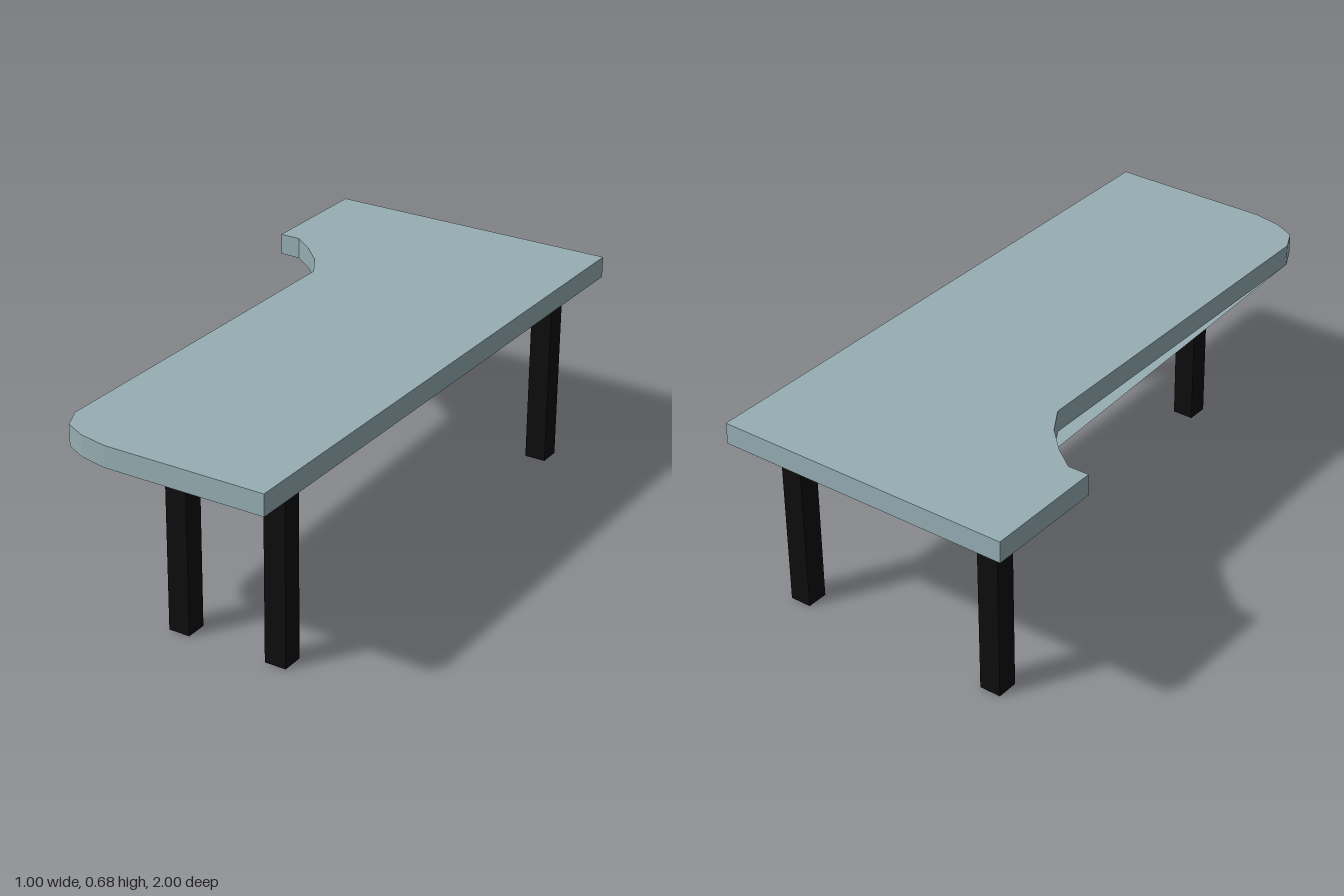
import * as THREE from 'three';

const LEG_HEIGHT = 0.61, TOP_THICKNESS = 0.07, LEG_WIDTH = 0.072;

// Plan outline given as [x, z] pairs, stored with y = -z so it can be laid flat
const planShape = (points) => new THREE.Shape(points.map(([x, z]) => new THREE.Vector2(x, -z)));

export function createModel() {
  const table = new THREE.Group();
  table.name = 'desk';
  const topMaterial = new THREE.MeshStandardMaterial({ name: 'greyBlueTop', color: 0x96aeb3 });
  const undersideMaterial = new THREE.MeshStandardMaterial({ name: 'greyBlueUnderside', color: 0x96aeb3, side: THREE.DoubleSide });
  const legMaterial = new THREE.MeshStandardMaterial({ name: 'blackLeg', color: 0x0d0d0d });

  // Slab with a wide back end, a faceted cove and a rounded front corner
  const frontCorner = [-0.233, 0.875], coveEnd = [-0.233, -0.38], coveMiddle = [-0.285, -0.468];
  const outline = [
    [0.5, 1], [0.5, -1], [-0.5, -1], [-0.5, -0.595], [-0.43, -0.595], [-0.36, -0.543],
    coveMiddle, coveEnd, frontCorner, [-0.2, 0.945], [-0.13, 0.98], [-0.035, 1],
  ];
  const slabGeometry = new THREE.ExtrudeGeometry(planShape(outline), { depth: TOP_THICKNESS, bevelEnabled: false });
  slabGeometry.rotateX(-Math.PI / 2);
  const slab = new THREE.Mesh(slabGeometry, topMaterial);
  slab.name = 'deskTop';
  slab.position.y = LEG_HEIGHT;
  table.add(slab);

  // Thin underside sliver bridging the last facet of the cove
  const sliverGeometry = new THREE.ShapeGeometry(planShape([coveMiddle, coveEnd, frontCorner]));
  sliverGeometry.rotateX(-Math.PI / 2);
  const sliver = new THREE.Mesh(sliverGeometry, undersideMaterial);
  sliver.name = 'undersideEdge';
  sliver.position.y = LEG_HEIGHT;
  table.add(sliver);

  // Four square legs
  const legGeometry = new THREE.BoxGeometry(LEG_WIDTH, LEG_HEIGHT, LEG_WIDTH);
  const legs = {
    frontLeftLeg: [0.392, 0.755], frontRightLeg: [0.053, 0.755],
    backLeftLeg: [0.392, -0.822], backRightLeg: [-0.341, -0.822],
  };
  for (const [name, [x, z]] of Object.entries(legs)) {
    const leg = new THREE.Mesh(legGeometry, legMaterial);
    leg.name = name;
    leg.position.set(x, LEG_HEIGHT / 2, z);
    table.add(leg);
  }
  return table;
}
